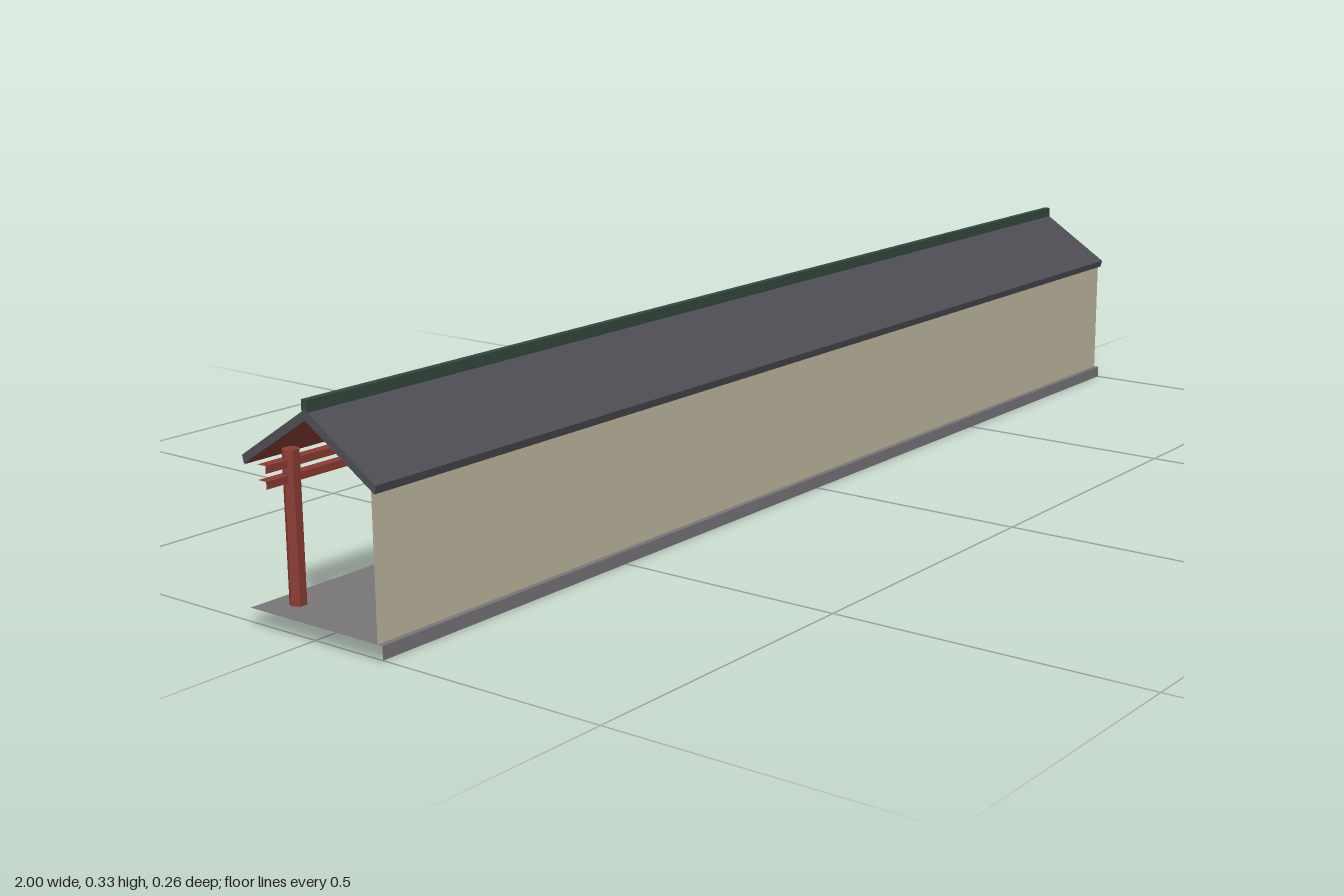
import * as THREE from 'three';

const paint = (name, color, side = THREE.FrontSide) =>
  Object.assign(new THREE.MeshStandardMaterial({ color, side }), { name });

// Box running along x with its two ends left open
function openBeam(length, height, depth) {
  const g = new THREE.BoxGeometry(length, height, depth);
  g.setIndex(Array.from(g.index.array).slice(12));
  g.clearGroups();
  return g;
}

export function createModel() {
  const model = new THREE.Group();
  model.name = 'coveredWalkway';

  const stone = paint('stone grey', 0x787577);
  const plaster = paint('plaster beige', 0xc0b8a0, THREE.DoubleSide);
  const tile = paint('roof slate', 0x4e4d54);
  const ridgeGreen = paint('ridge green', 0x35473f);
  const redWood = paint('red wood', 0x8a3c34);

  const add = (name, geometry, material, x, y, z) => {
    const mesh = new THREE.Mesh(geometry, material);
    mesh.name = name;
    mesh.position.set(x, y, z);
    model.add(mesh);
    return mesh;
  };

  // Floor slab
  add('floor', openBeam(2, 0.02, 0.256), stone, 0, 0.01, 0);

  // Front wall, reaching up to the roof
  add('wall', new THREE.PlaneGeometry(2, 0.21), plaster, 0, 0.125, 0.119);

  // Row of six-sided posts along the open back
  const postGeometry = new THREE.CylinderGeometry(0.0127, 0.0127, 0.223, 6).toNonIndexed();
  postGeometry.rotateY(Math.PI / 2);
  postGeometry.computeVertexNormals();
  for (let i = 0; i < 10; i++) {
    add('post', postGeometry, redWood, -0.951 + i * 0.2141, 0.1315, -0.086);
  }

  // Two rails under the back eave
  for (const y of [0.202, 0.224]) {
    add('rail', openBeam(2, 0.011, 0.016), redWood, 0, y, -0.09);
  }

  // Gabled roof slab
  const profile = new THREE.Shape([
    [0, 0.32], [-0.128, 0.238], [-0.125, 0.226], [0, 0.305], [0.125, 0.226], [0.128, 0.238],
  ].map(([x, y]) => new THREE.Vector2(x, y)));
  const roof = new THREE.ExtrudeGeometry(profile, { depth: 2, bevelEnabled: false });
  roof.translate(0, 0, -1).rotateY(Math.PI / 2);
  add('roof', roof, tile, 0, 0, 0);

  // Red boarding on the underside of both slopes
  const slope = Math.atan2(0.079, 0.125);
  const boards = new THREE.PlaneGeometry(2, Math.hypot(0.079, 0.125)).rotateX(Math.PI / 2);
  for (const s of [1, -1]) {
    add('roofUnderside', boards, redWood, 0, 0.2645, s * 0.0625).rotation.x = s * slope;
  }

  // Ridge cap
  add('ridge', new THREE.BoxGeometry(2, 0.02, 0.011), ridgeGreen, 0, 0.3235, 0);

  return model;
}
